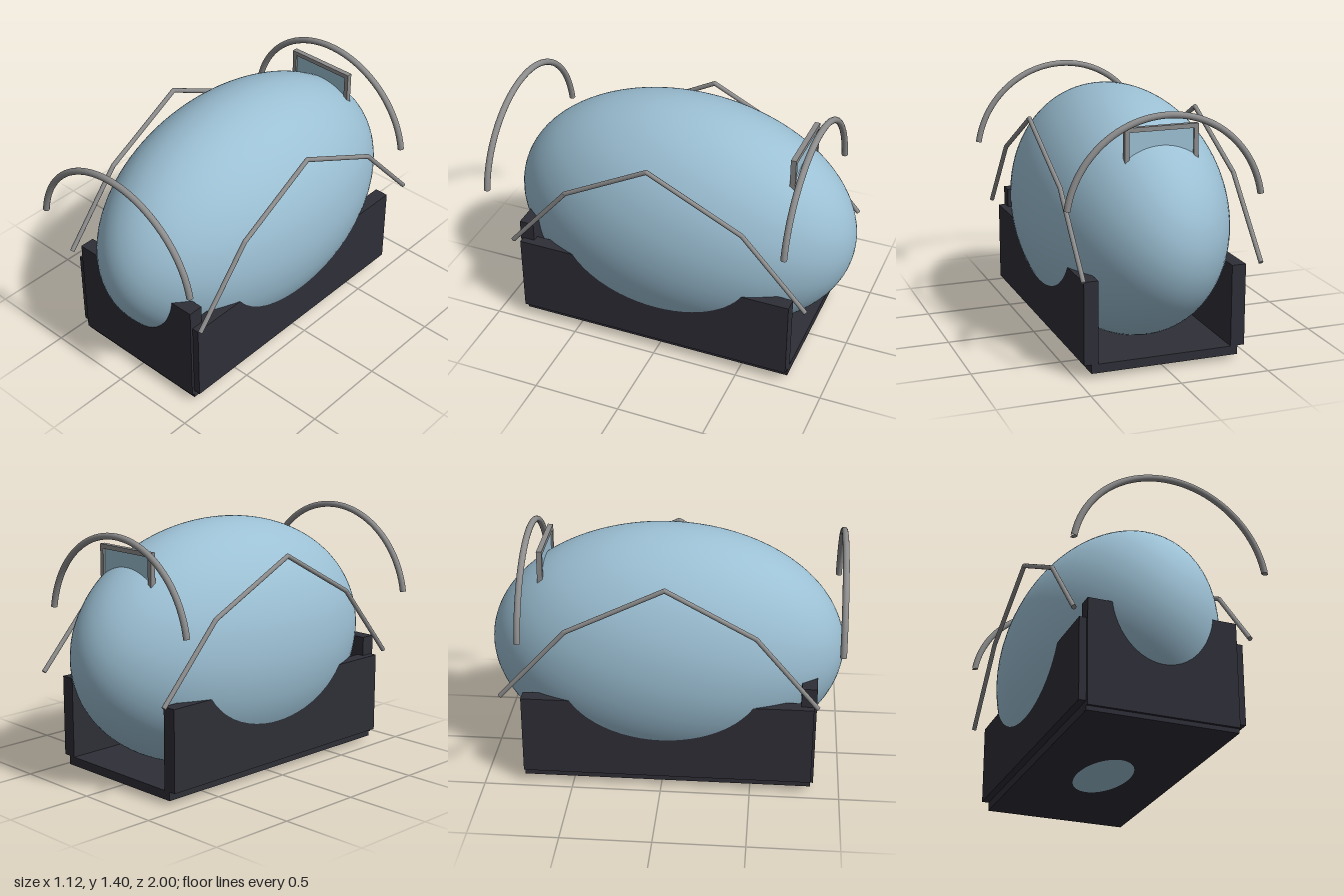
import * as THREE from 'three';

const shell = new THREE.MeshStandardMaterial({ color: 0x9cc0d4 });
shell.name = 'paleBlue';
const steel = new THREE.MeshStandardMaterial({ color: 0x8c8c8c });
steel.name = 'steelGrey';
const dark = new THREE.MeshStandardMaterial({ color: 0x2e2e37 });
dark.name = 'charcoal';

export function createModel() {
  const model = new THREE.Group();
  model.name = 'cradledEllipsoid';

  const add = (name, geometry, material, x = 0, y = 0, z = 0, parent = model) => {
    const mesh = new THREE.Mesh(geometry, material);
    mesh.name = name;
    mesh.position.set(x, y, z);
    parent.add(mesh);
    return mesh;
  };
  // Box given by its limits on each axis
  const box = (name, material, [x0, x1], [y0, y1], [z0, z1], parent) =>
    add(name, new THREE.BoxGeometry(x1 - x0, y1 - y0, z1 - z0), material,
      (x0 + x1) / 2, (y0 + y1) / 2, (z0 + z1) / 2, parent);

  // Main body
  const bodyGeometry = new THREE.SphereGeometry(1, 96, 64);
  bodyGeometry.scale(0.555, 0.7, 1);
  add('body', bodyGeometry, shell, 0, 0.704, 0);

  // Cradle: floor, two sides and a taller front, open at the back
  box('cradleFloor', dark, [-0.42, 0.42], [0.03, 0.08], [-0.78, 0.84]);
  box('leftCradleSide', dark, [0.38, 0.46], [0.08, 0.54], [-0.78, 0.84]);
  box('rightCradleSide', dark, [-0.46, -0.38], [0.08, 0.54], [-0.78, 0.84]);
  box('cradleFront', dark, [-0.42, 0.42], [0.055, 0.65], [0.77, 0.855]);

  // Arched hoops, slightly less than half a circle, with flat ends
  const R = 0.55, r = 0.018, start = 0.165;
  const hoop = (name, y, z) => {
    const group = new THREE.Group();
    group.name = name;
    group.position.set(0, y, z);
    model.add(group);
    const arc = new THREE.TorusGeometry(R, r, 16, 72, Math.PI - 2 * start);
    arc.rotateZ(start);
    add(name + 'Tube', arc, steel, 0, 0, 0, group);
    for (const s of [1, -1]) {
      const cap = add(name + 'End', new THREE.CircleGeometry(r, 16), steel,
        s * R * Math.cos(start), R * Math.sin(start), 0, group);
      cap.rotation.set(Math.PI / 2, s * -start, 0);
    }
  };
  hoop('frontHoop', 0.825, 0.975);
  hoop('rearHoop', 0.833, -0.765);

  // Bent side rails: straight rods with rounded joints
  const up = new THREE.Vector3(0, 1, 0);
  const railPath = [[0.86, 0.575], [0.515, 0.98], [0.025, 1.245], [-0.515, 0.98], [-0.885, 0.575]];
  for (const [name, x] of [['leftRail', 0.497], ['rightRail', -0.497]]) {
    const rail = new THREE.Group();
    rail.name = name;
    model.add(rail);
    const points = railPath.map(([z, y]) => new THREE.Vector3(x, y, z));
    for (let i = 0; i < points.length - 1; i++) {
      const span = points[i + 1].clone().sub(points[i]);
      const mid = points[i].clone().addScaledVector(span, 0.5);
      const rod = add(name + 'Rod', new THREE.CylinderGeometry(0.013, 0.013, span.length(), 14),
        steel, mid.x, mid.y, mid.z, rail);
      rod.quaternion.setFromUnitVectors(up, span.normalize());
      if (i > 0) {
        add(name + 'Joint', new THREE.SphereGeometry(0.013, 14, 10), steel, ...points[i].toArray(), rail);
      }
    }
  }

  // Small framed window on the rear of the body
  const frame = new THREE.Group();
  frame.name = 'rearWindow';
  model.add(frame);
  const depth = [-0.703, -0.673];
  box('windowTop', steel, [-0.205, 0.205], [1.29, 1.315], depth, frame);
  box('windowLeftPost', steel, [0.18, 0.205], [1.12, 1.29], depth, frame);
  box('windowRightPost', steel, [-0.205, -0.18], [1.12, 1.29], depth, frame);
  box('windowPane', shell, [-0.18, 0.18], [1.12, 1.29], [-0.692, -0.684], frame);

  return model;
}
